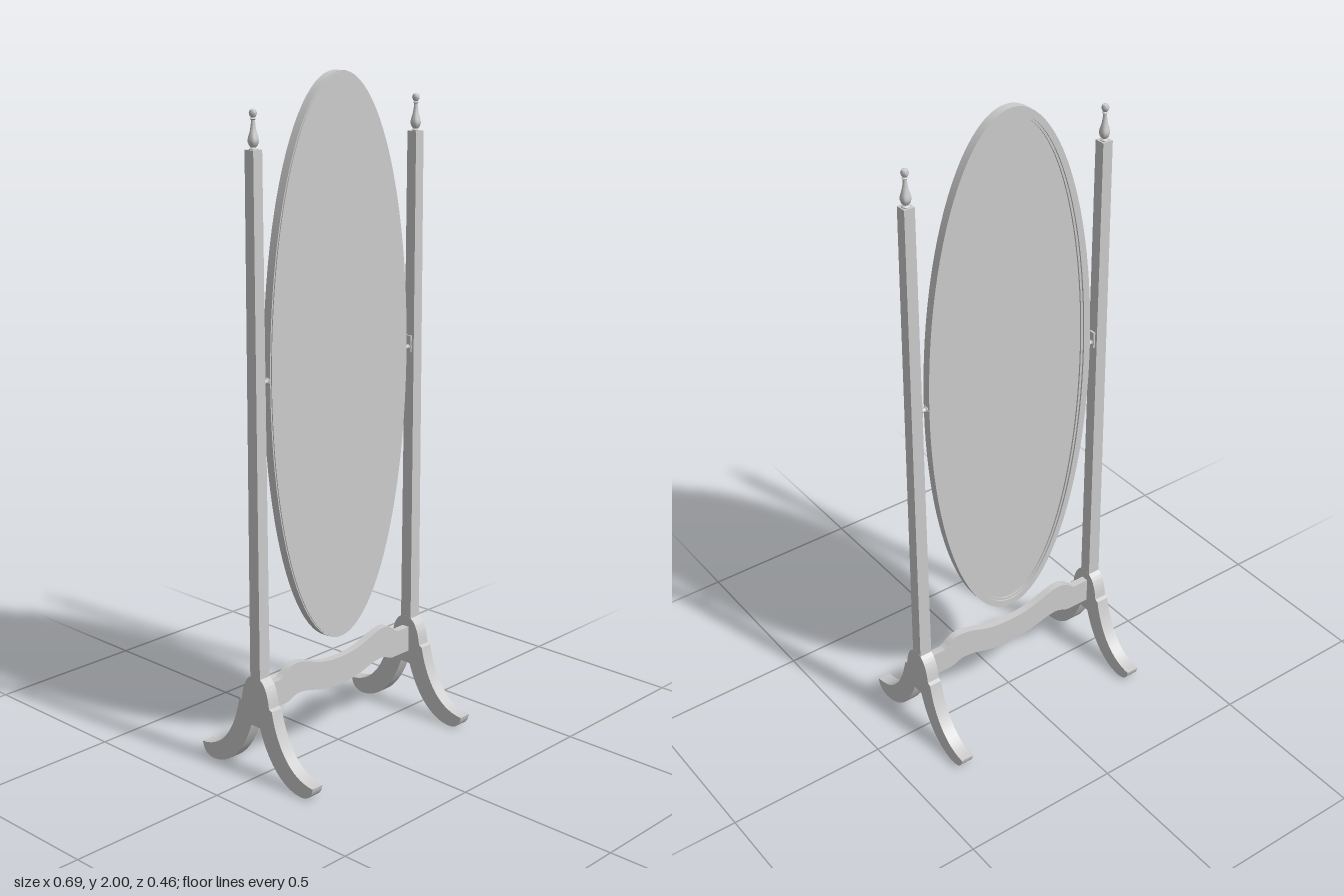
import * as THREE from 'three';
import { toCreasedNormals } from 'three/addons/utils/BufferGeometryUtils.js';

const material = new THREE.MeshStandardMaterial({ color: 0xcccccc });
const POST_X = 0.325, MIRROR_Y = 1.17;

function add(parent, name, geometry, x = 0, y = 0, z = 0) {
  const mesh = new THREE.Mesh(geometry, material);
  mesh.name = name;
  mesh.position.set(x, y, z);
  parent.add(mesh);
  return mesh;
}

function extrude(shape, depth, curveSegments = 16) {
  const g = new THREE.ExtrudeGeometry(shape, { depth, curveSegments, bevelEnabled: false });
  return toCreasedNormals(g, 0.6);
}

function ellipse(Type, rx, ry) {
  return new Type().absellipse(0, 0, rx, ry, 0, Math.PI * 2, false, 0);
}

function ellipseRing(rx, ry, width, depth) {
  const shape = ellipse(THREE.Shape, rx, ry);
  shape.holes.push(ellipse(THREE.Path, rx - width, ry - width));
  return extrude(shape, depth, 48);
}

function lathe(points, segments = 24) {
  const g = new THREE.LatheGeometry(points.map(([r, y]) => new THREE.Vector2(r, y)), segments);
  return toCreasedNormals(g, 0.7);
}

// Arched pair of splayed feet, drawn in the side plane
function feetGeometry() {
  const s = new THREE.Shape();
  s.moveTo(0, 0.315);
  s.bezierCurveTo(0.03, 0.315, 0.05, 0.285, 0.056, 0.23);
  s.lineTo(0.067, 0.225);
  s.bezierCurveTo(0.085, 0.14, 0.13, 0.045, 0.228, 0.04);
  s.bezierCurveTo(0.225, 0.015, 0.21, 0.002, 0.185, 0);
  s.bezierCurveTo(0.10, 0, 0.045, 0.08, 0.018, 0.16);
  s.lineTo(-0.018, 0.16);
  s.bezierCurveTo(-0.045, 0.08, -0.10, 0, -0.185, 0);
  s.bezierCurveTo(-0.21, 0.002, -0.225, 0.015, -0.228, 0.04);
  s.bezierCurveTo(-0.13, 0.045, -0.085, 0.14, -0.067, 0.225);
  s.lineTo(-0.056, 0.23);
  s.bezierCurveTo(-0.05, 0.285, -0.03, 0.315, 0, 0.315);
  return extrude(s, 0.04).translate(0, 0, -0.02).rotateY(Math.PI / 2);
}

// Serpentine cross rail between the posts
function railGeometry() {
  const s = new THREE.Shape();
  s.moveTo(-0.306, 0.2);
  s.lineTo(-0.235, 0.2);
  s.bezierCurveTo(-0.21, 0.2, -0.20, 0.218, -0.17, 0.215);
  s.bezierCurveTo(-0.12, 0.212, -0.09, 0.186, 0, 0.186);
  s.bezierCurveTo(0.09, 0.186, 0.12, 0.212, 0.17, 0.215);
  s.bezierCurveTo(0.20, 0.218, 0.21, 0.2, 0.235, 0.2);
  s.lineTo(0.306, 0.2);
  s.lineTo(0.306, 0.28);
  s.lineTo(0.255, 0.28);
  s.bezierCurveTo(0.235, 0.285, 0.225, 0.312, 0.19, 0.312);
  s.bezierCurveTo(0.13, 0.31, 0.11, 0.274, 0, 0.274);
  s.bezierCurveTo(-0.11, 0.274, -0.13, 0.31, -0.19, 0.312);
  s.bezierCurveTo(-0.225, 0.312, -0.235, 0.285, -0.255, 0.28);
  s.lineTo(-0.306, 0.28);
  s.closePath();
  return extrude(s, 0.024);
}

// Square post, tapering slightly to the top
function postGeometry() {
  const g = new THREE.CylinderGeometry(0.033 / Math.SQRT2, 0.04 / Math.SQRT2, 1.65, 4);
  g.rotateY(Math.PI / 4);
  return toCreasedNormals(g, 0.4);
}

const finialProfile = [
  [0, 0], [0.012, 0], [0.012, 0.004], [0.007, 0.008], [0.012, 0.014], [0.0155, 0.024],
  [0.014, 0.034], [0.009, 0.05], [0.006, 0.068], [0.0055, 0.08], [0.009, 0.083],
  [0.0055, 0.086], [0.0095, 0.092], [0.011, 0.098], [0.0085, 0.106], [0, 0.11],
];

const pivotProfile = [
  [0, -0.016], [0.011, -0.016], [0.011, -0.010], [0.007, -0.006],
  [0.0065, 0.004], [0.011, 0.009], [0.011, 0.016], [0, 0.016],
];

export function createModel() {
  const model = new THREE.Group();
  model.name = 'chevalMirror';

  // Swinging oval mirror: frame, stepped back moulding, glass panel
  const mirror = new THREE.Group();
  mirror.name = 'mirror';
  mirror.position.y = MIRROR_Y;
  model.add(mirror);
  add(mirror, 'mirrorFrame', ellipseRing(0.283, 0.83, 0.022, 0.027), 0, 0, -0.016);
  add(mirror, 'backMoulding', ellipseRing(0.264, 0.811, 0.010, 0.016), 0, 0, -0.011);
  add(mirror, 'glassPanel', extrude(ellipse(THREE.Shape, 0.279, 0.826), 0.004, 48), 0, 0, 0.010);
  add(mirror, 'backPanel', extrude(ellipse(THREE.Shape, 0.265, 0.812), 0.016, 48), 0, 0, -0.006);

  add(model, 'crossRail', railGeometry(), 0, 0, -0.012);

  // Left and right supports
  for (const side of [1, -1]) {
    const support = new THREE.Group();
    support.name = side > 0 ? 'leftSupport' : 'rightSupport';
    model.add(support);
    const x = side * POST_X;
    add(support, 'feet', feetGeometry(), x);
    add(support, 'post', postGeometry(), x, 0.985);
    add(support, 'finial', lathe(finialProfile), x, 1.808);
    const pivot = add(support, 'pivot', lathe(pivotProfile), side * 0.294, 1.172);
    pivot.rotation.z = -side * Math.PI / 2;
    add(support, 'pivotPlate', new THREE.BoxGeometry(0.010, 0.05, 0.02), side * 0.306, 1.182);
  }
  return model;
}
